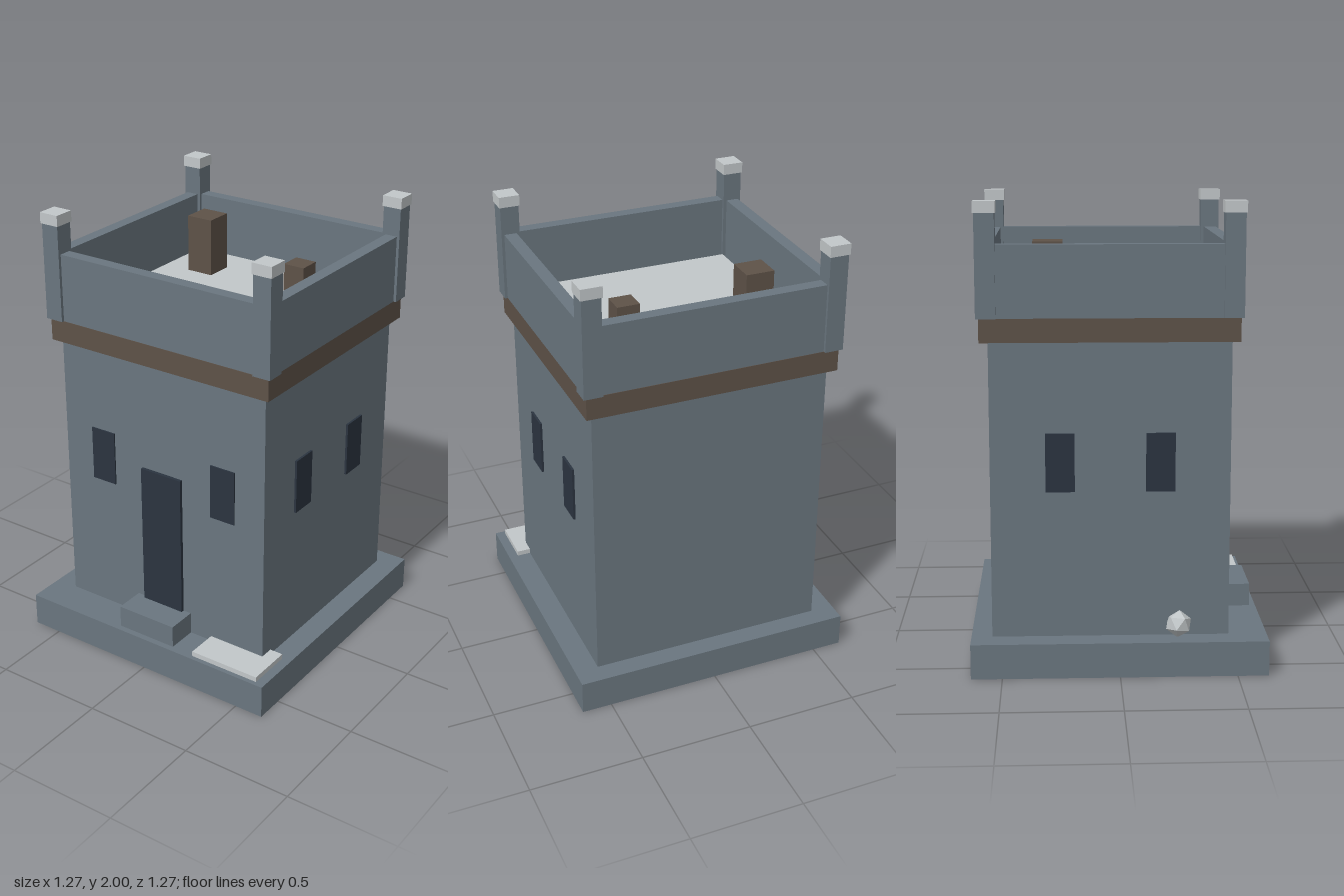
import * as THREE from 'three';

const material = (name, color) => {
  const m = new THREE.MeshStandardMaterial({ color });
  m.name = name;
  return m;
};

export function createModel() {
  const model = new THREE.Group();
  model.name = 'tower';
  const stone = material('slate stone', 0x6a767f);
  const pale = material('pale stone', 0xc2c7c9);
  const timber = material('brown timber', 0x5e5248);
  const dark = material('dark opening', 0x2b3440);

  // Box given by its limits on each axis
  const box = (name, mat, [x0, x1], [y0, y1], [z0, z1]) => {
    const mesh = new THREE.Mesh(new THREE.BoxGeometry(x1 - x0, y1 - y0, z1 - z0), mat);
    mesh.position.set((x0 + x1) / 2, (y0 + y1) / 2, (z0 + z1) / 2);
    mesh.name = name;
    model.add(mesh);
    return mesh;
  };
  const span = (centre, size) => [centre - size / 2, centre + size / 2];
  const zc = -0.04; // the tower stands slightly back on its plinth

  // Plinth, tower body and timber belt
  box('plinth', stone, span(0, 1.266), [0, 0.152], span(0, 1.266));
  box('body', stone, span(0, 1.056), [0.152, 1.425], span(zc + 0.002, 1.012));
  box('belt', timber, span(0, 1.12), [1.423, 1.523], span(zc, 1.08));
  box('roofFloor', pale, span(0, 0.978), [1.52, 1.562], span(zc, 0.93));

  // Parapet walls, corner posts and caps
  for (const s of [-1, 1]) {
    box('parapetLong', stone, span(0, 1.122), [1.523, 1.825], span(zc + s * 0.51, 0.056));
    box('parapetSide', stone, span(s * 0.533, 0.056), [1.523, 1.825], span(zc, 0.966));
    for (const t of [-1, 1]) {
      box('cornerPost', stone, span(s * 0.532, 0.083), [1.523, 1.955], span(zc + t * 0.51, 0.083));
      box('postCap', pale, span(s * 0.532, 0.092), [1.952, 2], span(zc + t * 0.51, 0.092));
    }
  }

  // Chimneys on the roof
  box('tallChimney', timber, span(-0.296, 0.126), [1.562, 1.822], span(-0.296, 0.126));
  box('shortChimney', timber, span(0.253, 0.1), [1.562, 1.73], span(-0.212, 0.1));

  // Door, step and paving slab
  box('door', dark, span(0, 0.21), [0.25, 0.917], [0.46, 0.483]);
  box('doorStep', stone, span(-0.002, 0.292), [0.152, 0.254], [0.46, 0.605]);
  box('pavingSlab', pale, [0.255, 0.59], [0.152, 0.175], [0.404, 0.612]);

  // Windows on the front and both sides
  for (const s of [-1, 1]) {
    box('frontWindow', dark, span(s * 0.318, 0.123), [0.787, 1.037], [0.462, 0.474]);
    for (const z of [0.173, -0.25]) {
      box('sideWindow', dark, span(s * 0.532, 0.012), [0.787, 1.037], span(z, 0.123));
    }
  }

  // Small rock beside the wall
  const rock = new THREE.Mesh(new THREE.IcosahedronGeometry(0.058, 0), pale);
  rock.name = 'rock';
  rock.position.set(-0.543, 0.205, 0.252);
  rock.rotation.set(0.2, 0.4, 0.3);
  model.add(rock);

  return model;
}
